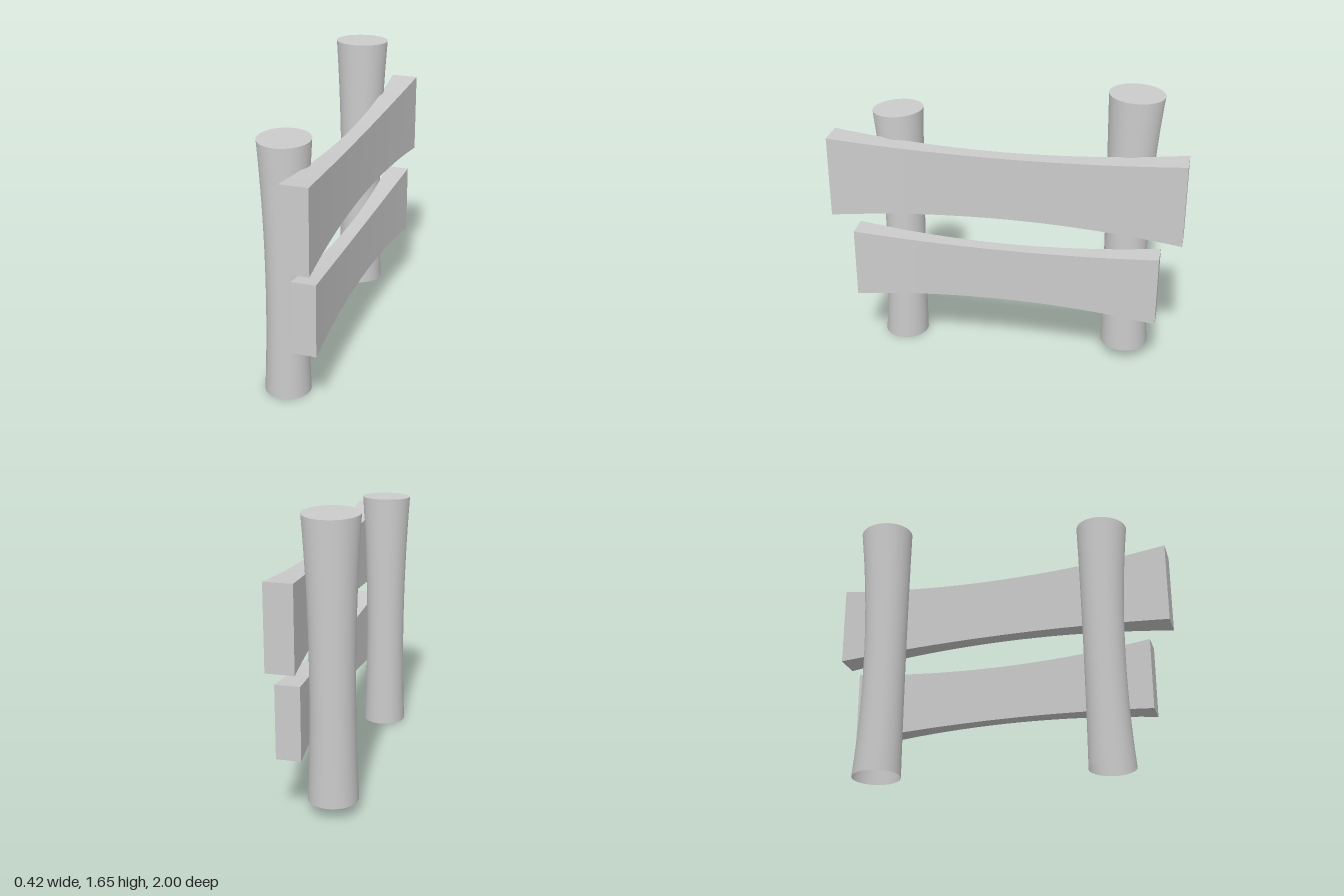
import * as THREE from 'three';

const material = new THREE.MeshStandardMaterial({ color: 0xcccccc, side: THREE.DoubleSide });

// Quadratic through the bottom, waist and top values of a post
function blend([bottom, waist, top], t) {
  const w = 0.4;
  return bottom * (t - w) * (t - 1) / w
    + waist * t * (t - 1) / (w * (w - 1))
    + top * t * (t - w) / (1 - w);
}

// Waisted, slightly bowed round post, open underneath, with a sloping top
function makePost(name, { y0, y1, radius, x, z, slope }) {
  const geometry = new THREE.CylinderGeometry(1, 1, 1, 48, 16);
  const { start, count } = geometry.groups[2]; // bottom cap
  const index = Array.from(geometry.index.array);
  index.splice(start, count);
  geometry.setIndex(index);
  geometry.clearGroups();

  const p = geometry.attributes.position;
  for (let i = 0; i < p.count; i++) {
    const t = p.getY(i) + 0.5;
    const r = blend(radius, t);
    const dz = p.getZ(i) * r;
    p.setXYZ(i,
      blend(x, t) + p.getX(i) * r,
      y0 + (y1 - y0) * t + slope * dz * t,
      blend(z, t) + dz);
  }
  const post = new THREE.Mesh(geometry, material);
  post.name = name;
  return post;
}

// Plank that flares in height and thickness toward both ends
function makePlank(name, { y, halfLength, endHeight, midHeight, endThickness, midThickness }) {
  const geometry = new THREE.BoxGeometry(1, 1, 2, 1, 1, 20);
  const p = geometry.attributes.position;
  for (let i = 0; i < p.count; i++) {
    const s = p.getZ(i);
    p.setXYZ(i,
      p.getX(i) * THREE.MathUtils.lerp(midThickness, endThickness, s * s),
      p.getY(i) * THREE.MathUtils.lerp(midHeight, endHeight, s * s),
      s * halfLength);
  }
  geometry.computeVertexNormals();
  const plank = new THREE.Mesh(geometry, material);
  plank.name = name;
  plank.position.set(0.13, y, 0);
  return plank;
}

export function createModel() {
  const fence = new THREE.Group();
  fence.name = 'fence';
  fence.add(
    makePost('frontPost', {
      y0: 0, y1: 1.463, slope: -0.05,
      radius: [0.129, 0.115, 0.144], x: [-0.047, -0.051, -0.049], z: [0.657, 0.641, 0.653],
    }),
    makePost('backPost', {
      y0: 0.075, y1: 1.645, slope: 0.035,
      radius: [0.139, 0.123, 0.154], x: [-0.06, -0.055, -0.058], z: [-0.69, -0.673, -0.692],
    }),
    makePlank('upperPlank', {
      y: 1.117, halfLength: 1, endHeight: 0.475, midHeight: 0.37, endThickness: 0.157, midThickness: 0.09,
    }),
    makePlank('lowerPlank', {
      y: 0.567, halfLength: 0.88, endHeight: 0.417, midHeight: 0.325, endThickness: 0.138, midThickness: 0.08,
    }),
  );
  return fence;
}
